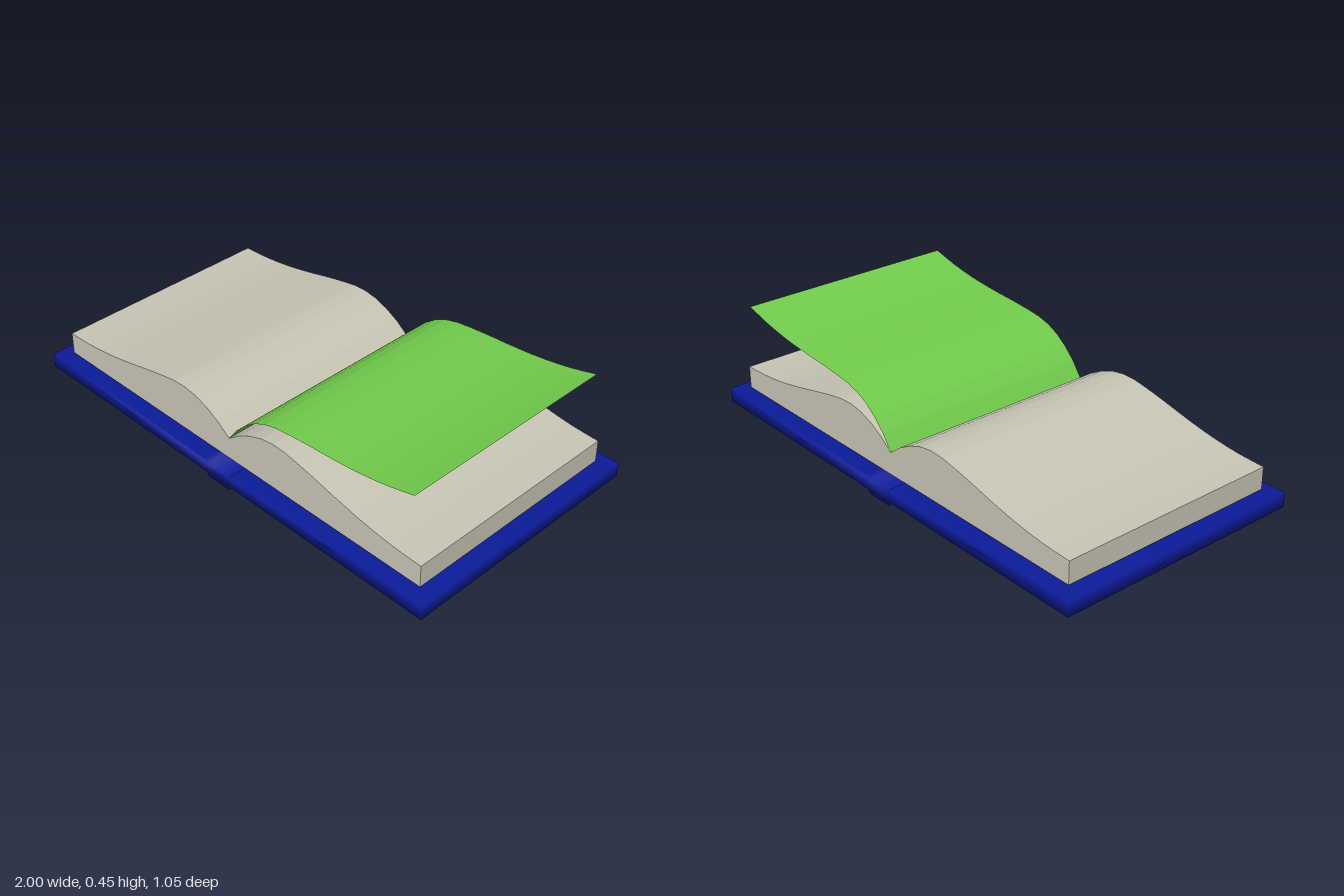
import * as THREE from 'three';
import { mergeVertices } from 'three/addons/utils/BufferGeometryUtils.js';

const PAGE_WIDTH = 0.94, PAGE_DEPTH = 0.94, COVER_DEPTH = 1.055;
const GUTTER = 0.175, BLOCK_BOTTOM = 0.083;

// Heights of an open page above the gutter, evenly spaced from spine to fore edge
const SWELL = [0, 0.044, 0.075, 0.096, 0.105, 0.103, 0.093, 0.081, 0.068,
  0.054, 0.041, 0.029, 0.019, 0.011, 0.005, 0.002, 0];
const STEPS = SWELL.length - 1;
const pageCurve = SWELL.map((h, i) => new THREE.Vector2((i / STEPS) * PAGE_WIDTH, h));

function material(color, extra = {}) {
  const m = new THREE.MeshStandardMaterial(extra);
  m.color.set(color);
  return m;
}

// Extrude a front-view outline, centred on z
function extrudeProfile(points, depth) {
  const g = new THREE.ExtrudeGeometry(new THREE.Shape(points), { depth, bevelEnabled: false });
  return g.translate(0, 0, -depth / 2);
}

function mirrored(points) {
  return points.map((p) => new THREE.Vector2(-p.x, p.y)).reverse();
}

function add(parent, name, geometry, mat) {
  const mesh = new THREE.Mesh(geometry, mat);
  mesh.name = name;
  parent.add(mesh);
  return mesh;
}

export function createModel() {
  const book = new THREE.Group();
  book.name = 'openBook';

  // Cover: two boards joined by a dropped spine, with soft shared normals
  const half = [[0.055, 0], [0.07, 0.015], [1, 0.015], [1, 0.075], [0.07, 0.075], [0.055, 0.06]]
    .map(([x, y]) => new THREE.Vector2(x, y));
  let cover = extrudeProfile([...half, ...mirrored(half)], COVER_DEPTH);
  cover.deleteAttribute('normal');
  cover.deleteAttribute('uv');
  cover = mergeVertices(cover);
  cover.computeVertexNormals();
  add(book, 'cover', cover, material(0x0c1b98));

  // Page block: both swelling halves above a flat base
  const right = pageCurve.map((p) => new THREE.Vector2(p.x, p.y + GUTTER));
  const outline = [
    new THREE.Vector2(-PAGE_WIDTH, BLOCK_BOTTOM),
    new THREE.Vector2(PAGE_WIDTH, BLOCK_BOTTOM),
    ...right.slice().reverse(),
    ...mirrored(right).reverse().slice(1),
  ];
  add(book, 'pageBlock', extrudeProfile(outline, PAGE_DEPTH), material(0xc8c5b4));

  // Loose page: the same curve, lifted about the gutter
  const sheet = new THREE.PlaneGeometry(PAGE_WIDTH, PAGE_DEPTH, STEPS, 1);
  sheet.rotateX(-Math.PI / 2);
  const pos = sheet.attributes.position;
  for (let i = 0; i < pos.count; i++) {
    const p = pageCurve[i % (STEPS + 1)];
    pos.setXY(i, p.x, p.y);
  }
  sheet.computeVertexNormals();
  const page = add(book, 'liftedPage', sheet,
    material(0x72cc4c, { side: THREE.DoubleSide, flatShading: true }));
  page.position.y = GUTTER;
  page.rotation.z = THREE.MathUtils.degToRad(17);

  return book;
}
